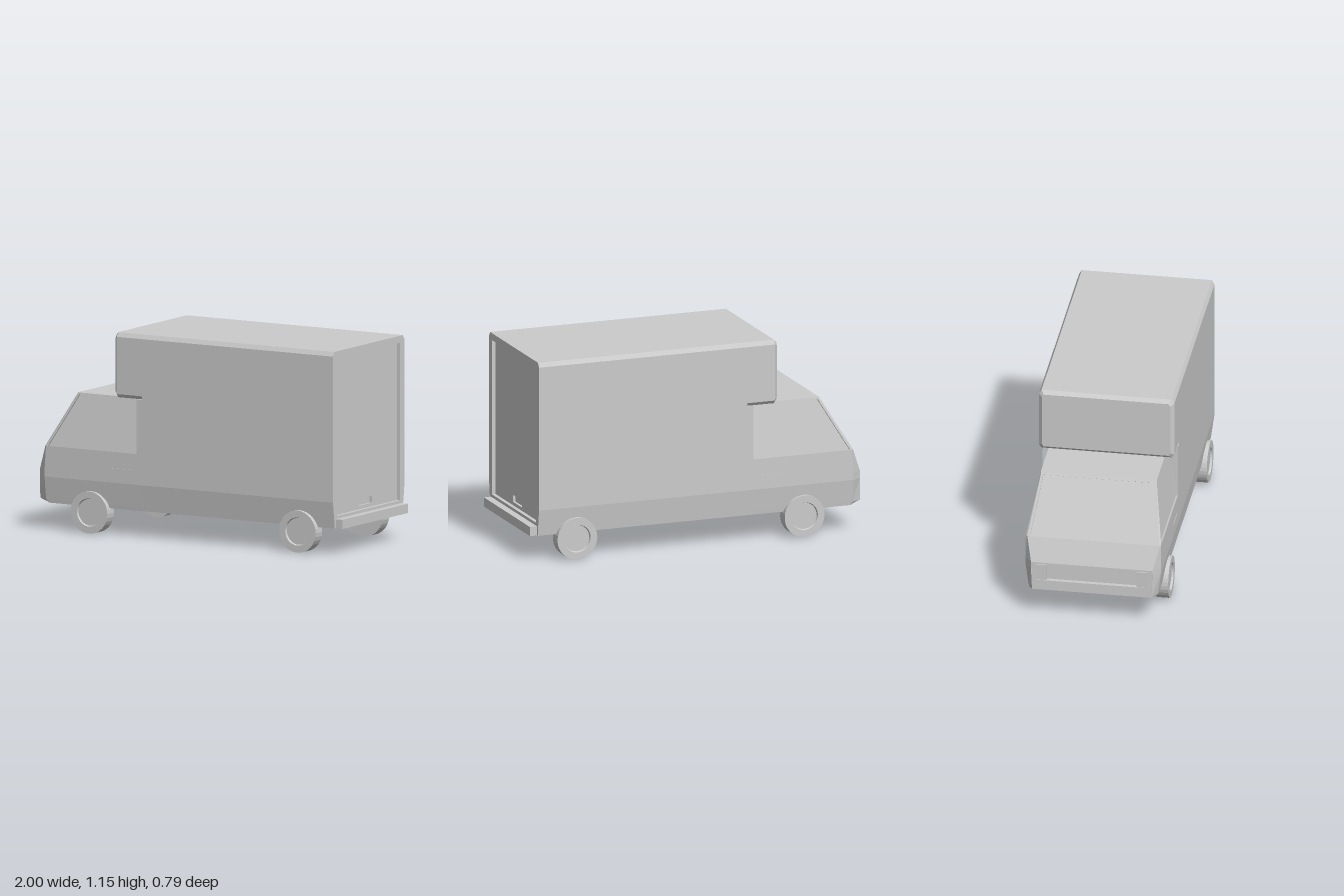
import * as THREE from 'three';

const V = (x, y, z) => new THREE.Vector3(x, y, z);
const grey = new THREE.MeshStandardMaterial({ color: 0xcccccc, flatShading: true });

function add(parent, name, geometry, x = 0, y = 0, z = 0) {
  const mesh = new THREE.Mesh(geometry, grey);
  mesh.name = name;
  mesh.position.set(x, y, z);
  parent.add(mesh);
  return mesh;
}

// Flat-shaded geometry from a list of convex polygons
function polygons(list) {
  const points = [];
  for (const p of list)
    for (let i = 1; i < p.length - 1; i++) points.push(p[0], p[i], p[i + 1]);
  const g = new THREE.BufferGeometry().setFromPoints(points);
  g.computeVertexNormals();
  return g;
}

// Polygon between neighbouring rings, at segment j
function panel(lo, up, j) {
  const k = (j + 1) % lo.length;
  return [lo[k], lo[j], up[j], up[k]];
}

// Skin over convex rings, capped at both ends; open(i, j) leaves a gap
function loft(rings, open = () => false) {
  const faces = [rings[0], [...rings[rings.length - 1]].reverse()];
  for (let i = 0; i < rings.length - 1; i++)
    for (let j = 0; j < rings[i].length; j++)
      if (!open(i, j)) faces.push(panel(rings[i], rings[i + 1], j));
  return polygons(faces);
}

// Four-sided panel with a border around a recessed pane
function recessedPanel([a, b, c, d], u0, u1, v0, v1, depth) {
  const at = (u, v) => a.clone().lerp(b, u).lerp(d.clone().lerp(c, u), v);
  const n = b.clone().sub(a).cross(d.clone().sub(a)).normalize();
  const outer = [a, b, c, d];
  const rim = [at(u0, v0), at(1 - u1, v0), at(1 - u1, 1 - v1), at(u0, 1 - v1)];
  const pane = rim.map(p => p.clone().addScaledVector(n, -depth));
  const faces = [pane];
  for (let i = 0; i < 4; i++) {
    const k = (i + 1) % 4;
    faces.push([outer[i], outer[k], rim[k], rim[i]], [rim[i], rim[k], pane[k], pane[i]]);
  }
  return polygons(faces);
}

// Cross-section at x, given its +z half as [z, y] pairs from bottom to top
function section(x, half) {
  return [...half.map(([z, y]) => V(x, y, z)), ...[...half].reverse().map(([z, y]) => V(x, y, -z))];
}

function rectangle(w, y0, y1, Type = THREE.Shape) {
  return new Type([[-w, y0], [w, y0], [w, y1], [-w, y1]].map(p => new THREE.Vector2(...p)));
}

// Plate in the z-y plane with a rectangular hole, thick along x
function plate(shape, hole, depth) {
  shape.holes.push(hole);
  return new THREE.ExtrudeGeometry(shape, { depth, bevelEnabled: false }).rotateY(Math.PI / 2);
}

function createCab() {
  const cab = new THREE.Group();
  cab.name = 'cab';
  // height, front x, front half width, side x, side half width
  const rings = [
    [0.15, -0.945, 0.335, -0.925, 0.365],
    [0.17, -0.995, 0.34, -0.94, 0.368],
    [0.30, -0.995, 0.345, -0.94, 0.385],
    [0.34, -0.993, 0.345, -0.94, 0.385],
    [0.475, -0.94, 0.375, -0.93, 0.385],
    [0.785, -0.755, 0.325, -0.745, 0.33],
  ].map(([y, fx, fz, sx, sz]) => [
    V(-0.3, y, sz), V(sx, y, sz), V(fx, y, fz), V(fx, y, -fz), V(sx, y, -sz), V(-0.3, y, -sz),
  ]);
  const glazed = [0, 2, 4];
  add(cab, 'cabShell', loft(rings, (i, j) =>
    (i === 4 && glazed.includes(j)) || ((i === 1 || i === 2) && j === 2)));

  // Windows and grille
  const [lower, upper] = [rings[4], rings[5]];
  add(cab, 'windscreen', recessedPanel(panel(lower, upper, 2), 0.02, 0.02, 0.02, 0.03, 0.01));
  add(cab, 'leftWindow', recessedPanel(panel(lower, upper, 0), 0.018, 0.065, 0.01, 0.03, 0.01));
  add(cab, 'rightWindow', recessedPanel(panel(lower, upper, 4), 0.065, 0.018, 0.01, 0.03, 0.01));
  add(cab, 'grille', recessedPanel(panel(rings[1], rings[3], 2), 0.04, 0.04, 0.35, 0.06, 0.025));

  for (const s of [1, -1]) {
    add(cab, 'headlight', new THREE.BoxGeometry(0.03, 0.095, 0.06), -0.985, 0.282, s * 0.287);
    add(cab, 'doorPillar', new THREE.BoxGeometry(0.035, 0.315, 0.06), -0.3175, 0.628, s * 0.355);
    add(cab, 'doorHandle', new THREE.BoxGeometry(0.12, 0.014, 0.008), -0.44, 0.375, s * 0.384);
  }
  return cab;
}

function createCargoBox() {
  const box = new THREE.Group();
  box.name = 'cargoBox';
  const half = [[0.365, 0.15], [0.385, 0.3], [0.385, 1.13], [0.37, 1.155]];
  add(box, 'cargoBody', loft([section(-0.3, half), section(0.92, half)]));

  // Chamfered overhang above the cab
  const full = [[0.37, 0.786], [0.385, 0.805], [0.385, 1.13], [0.37, 1.155]];
  const nose = [[0.355, 0.805], [0.365, 0.82], [0.365, 1.12], [0.355, 1.135]];
  add(box, 'overhang', loft([section(-0.485, nose), section(-0.465, full), section(-0.3, full)]));

  // Rear frame around a recessed door with a sunken grip
  const outline = new THREE.Shape(section(0, half).map(p => new THREE.Vector2(p.z, p.y)));
  add(box, 'rearFrame', plate(outline, rectangle(0.34, 0.22, 1.115, THREE.Path), 0.037), 0.92);
  add(box, 'rearDoor', plate(rectangle(0.34, 0.22, 1.115),
    rectangle(0.07, 0.24, 0.28, THREE.Path), 0.015), 0.92);
  add(box, 'rearBumper', new THREE.BoxGeometry(0.045, 0.053, 0.71), 0.9775, 0.1765, 0);
  return box;
}

function createWheels() {
  const wheels = new THREE.Group();
  wheels.name = 'wheels';
  // Tyre with a recessed hub on the outer face
  const profile = [[0, 0], [0.12, 0], [0.12, 0.072], [0.08, 0.072], [0.076, 0.06], [0, 0.06]]
    .map(p => new THREE.Vector2(...p));
  const wheel = new THREE.LatheGeometry(profile, 32).rotateX(Math.PI / 2);
  for (const [x, name] of [[-0.64, 'frontWheel'], [0.73, 'rearWheel']])
    for (const s of [1, -1]) {
      const mesh = add(wheels, name, wheel, x, 0.12, s * 0.325);
      if (s < 0) mesh.rotation.y = Math.PI;
    }
  return wheels;
}

export function createModel() {
  const truck = new THREE.Group();
  truck.name = 'boxTruck';
  truck.add(createCab(), createCargoBox(), createWheels());
  return truck;
}
